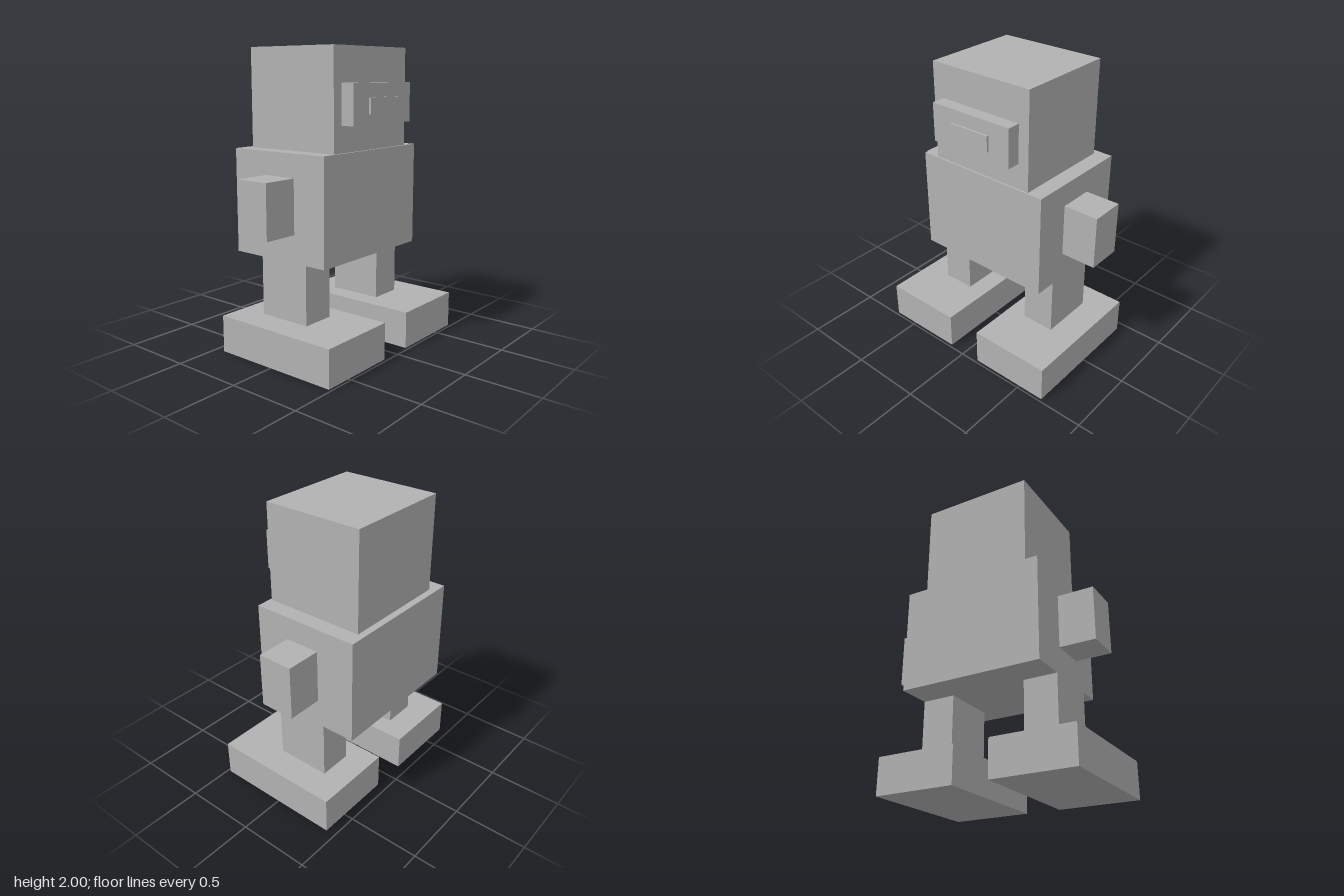
import * as THREE from 'three';

const grey = new THREE.MeshStandardMaterial({ color: 0xb2b2b2 });
grey.name = 'light grey';

// Box given by its lower and upper limits on each axis
function block(name, [x0, x1], [y0, y1], [z0, z1]) {
  const mesh = new THREE.Mesh(new THREE.BoxGeometry(x1 - x0, y1 - y0, z1 - z0), grey);
  mesh.position.set((x0 + x1) / 2, (y0 + y1) / 2, (z0 + z1) / 2);
  mesh.name = name;
  return mesh;
}

export function createModel() {
  const robot = new THREE.Group();
  robot.name = 'robot';

  // Body and head
  robot.add(block('torso', [-0.49, 0.49], [0.645, 1.345], [-0.48, 0.28]));
  robot.add(block('head', [-0.38, 0.38], [1.345, 2], [-0.433, 0.267]));

  // Raised face panel with a thin plate on it
  robot.add(block('facePanel', [-0.305, 0.305], [1.515, 1.775], [0.267, 0.358]));
  robot.add(block('facePlate', [-0.15, 0.15], [1.58, 1.685], [0.358, 0.373]));

  // Limbs, mirrored left and right
  for (const [side, s] of [['left', 1], ['right', -1]]) {
    const span = (a, b) => (s > 0 ? [a, b] : [-b, -a]);
    robot.add(block(side + 'Arm', span(0.49, 0.733), [0.83, 1.19], [-0.207, 0.035]));
    robot.add(block(side + 'Leg', span(0.26, 0.49), [0.25, 0.645], [-0.25, 0.13]));
    robot.add(block(side + 'Foot', span(0.123, 0.687), [0, 0.25], [-0.433, 0.48]));
  }
  return robot;
}
